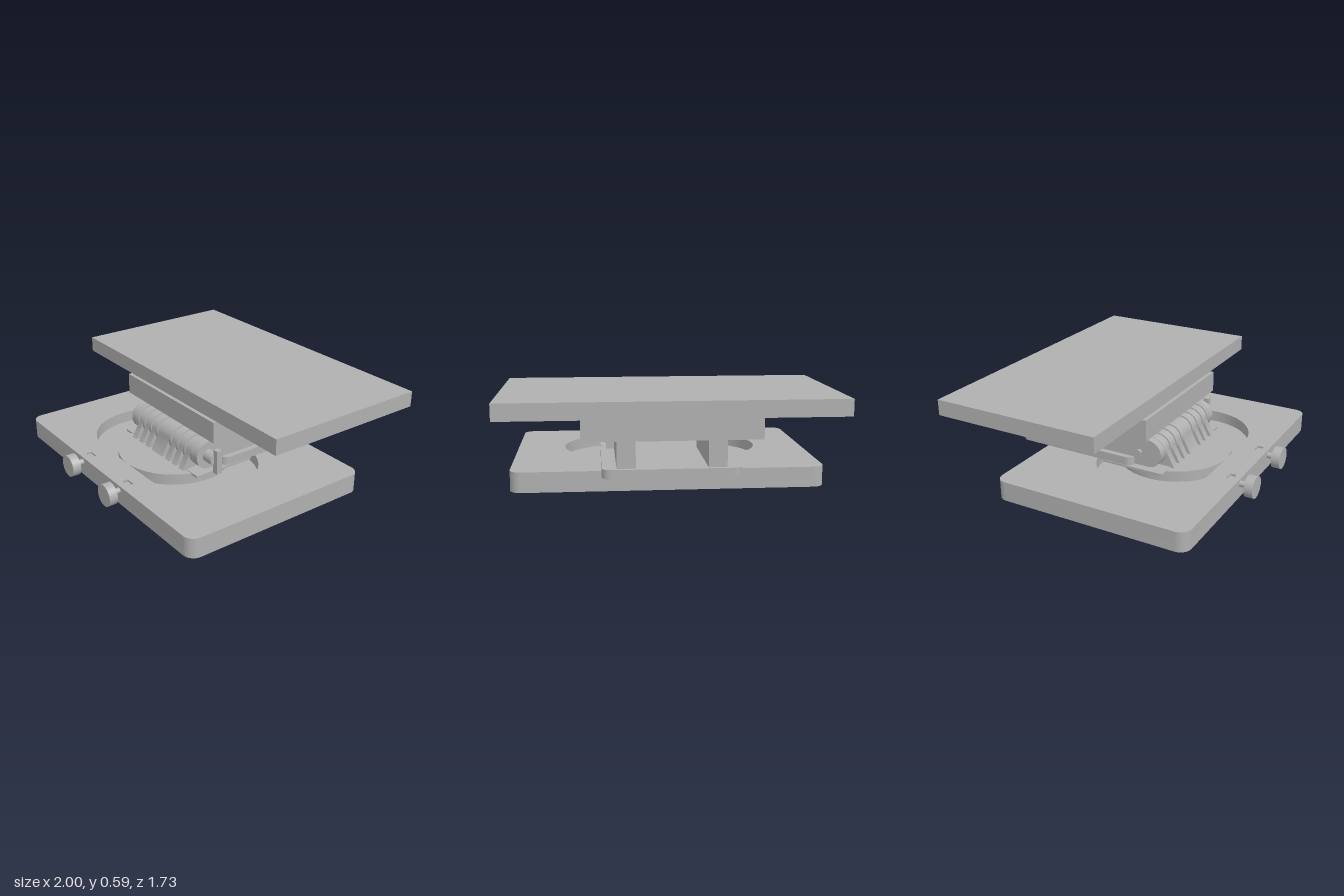
import * as THREE from 'three';
import { toCreasedNormals } from 'three/addons/utils/BufferGeometryUtils.js';

export function createModel() {
  const model = new THREE.Group();
  const grey = new THREE.MeshStandardMaterial({ color: 0xb0b0b0 });
  grey.name = 'plain grey';

  function add(name, geometry, x = 0, y = 0, z = 0) {
    const mesh = new THREE.Mesh(geometry, grey);
    mesh.name = name;
    mesh.position.set(x, y, z);
    model.add(mesh);
    return mesh;
  }
  // Box given by its limits on each axis
  const box = (name, x0, x1, y0, y1, z0, z1) =>
    add(name, new THREE.BoxGeometry(x1 - x0, y1 - y0, z1 - z0), (x0 + x1) / 2, (y0 + y1) / 2, (z0 + z1) / 2);
  // Cylinder lying along x or z
  function rod(name, axis, r, from, to, a, y) {
    const g = new THREE.CylinderGeometry(r, r, to - from, 40);
    const mid = (from + to) / 2;
    if (axis === 'x') return add(name, g.rotateZ(Math.PI / 2), mid, y, a);
    return add(name, g.rotateX(Math.PI / 2), a, y, mid);
  }
  // Rounded rectangle in the ground plane, centred on cx, cz
  function rounded(cx, cz, hx, hz, r) {
    const s = new THREE.Shape();
    s.absarc(cx + hx - r, cz + hz - r, r, 0, Math.PI / 2);
    s.absarc(cx - hx + r, cz + hz - r, r, Math.PI / 2, Math.PI);
    s.absarc(cx - hx + r, cz - hz + r, r, Math.PI, Math.PI * 1.5);
    s.absarc(cx + hx - r, cz - hz + r, r, Math.PI * 1.5, Math.PI * 2);
    s.closePath();
    return s;
  }
  // Extrude a ground-plane shape between two heights
  function layer(name, shape, holes, y0, y1, segments = 5) {
    shape.holes = holes;
    const g = new THREE.ExtrudeGeometry(shape, { depth: y1 - y0, bevelEnabled: false, curveSegments: segments });
    g.rotateX(Math.PI / 2).translate(0, y1, 0);
    return add(name, toCreasedNormals(g, 0.6));
  }
  // Extrude a side profile, drawn as (-z, y), between two x positions
  function sideProfile(name, shape, x0, x1) {
    const g = new THREE.ExtrudeGeometry(shape, { depth: x1 - x0, bevelEnabled: false, curveSegments: 24 });
    g.rotateY(Math.PI / 2).translate(x0, 0, 0);
    return add(name, toCreasedNormals(g, 0.5));
  }

  // Base: ribbed underneath, with a stadium-shaped recess on top
  const pocketAll = [], pocketDeep = [];
  for (let row = 0; row < 7; row++) {
    for (let col = 0; col < 10; col++) {
      const x = (col - 4.5) * 0.178, z = 0.12 + (row - 3) * 0.172;
      const corner = (col === 0 || col === 9) && (row === 0 || row === 6);
      if (corner || (row === 6 && col > 1 && col < 8)) continue;
      pocketAll.push([x, z]);
      const dx = Math.max(0, Math.abs(x) - 0.27);
      if (Math.hypot(dx, z - 0.205) > 0.47) pocketDeep.push([x, z]);
    }
  }
  const pockets = list => list.map(([x, z]) => rounded(x, z, 0.066, 0.062, 0.02));
  const outline = () => rounded(0, 0.12, 0.95, 0.64, 0.07);
  const recess = () => rounded(0, 0.205, 0.64, 0.37, 0.369);
  const slot = () => rounded(0, 0.205, 0.29, 0.018, 0.0179);
  const nutSlots = () => [-0.225, 0.22].map(x => rounded(x, 0.7, 0.033, 0.02, 0.002));
  layer('baseRibs', outline(), [...pockets(pocketAll), slot()], 0, 0.035);
  layer('baseFloor', outline(), [...pockets(pocketDeep), slot()], 0.035, 0.05);
  layer('baseWalls', outline(), [...pockets(pocketDeep), recess(), ...nutSlots()], 0.05, 0.11, 20);
  layer('baseTop', outline(), [recess(), ...nutSlots()], 0.11, 0.125, 20);
  layer('slotRim', rounded(0, 0.205, 0.31, 0.036, 0.0359), [slot()], 0.001, 0.035, 10);

  // Swivel disc that slides in the recess
  add('swivelDisc', new THREE.CylinderGeometry(0.365, 0.365, 0.07, 64), 0, 0.085, 0.205);
  box('discPad', -0.405, 0.405, 0.11, 0.124, -0.1, 0.32);

  // Front clamping knobs
  for (const x of [-0.225, 0.22]) {
    rod('knob', 'z', 0.07, 0.81, 0.865, x, 0.093);
    rod('knobStem', 'z', 0.019, 0.67, 0.82, x, 0.093);
    box('knobNut', x - 0.02, x + 0.02, 0.06, 0.118, 0.685, 0.715);
  }

  // Tilting carrier plate with screw holes and two rear walls
  const screwHoles = [-0.26, 0.26].map(x => rounded(x, -0.65, 0.02, 0.02, 0.0199));
  layer('carrierPlate', rounded(0, -0.31, 0.405, 0.42, 0.05), screwHoles, 0.126, 0.18, 10);
  for (const s of [-1, 1]) {
    box('supportWall', s * 0.265 - 0.055, s * 0.265 + 0.055, 0.18, 0.35, -0.705, -0.155);
  }

  // Hinge arms at both ends of the drum
  const cz = 0.205, cy = 0.222;
  const arm = new THREE.Shape();
  arm.moveTo(0.155, 0.175);
  arm.lineTo(0.155, 0.347);
  arm.lineTo(0.08, 0.345);
  arm.absarc(-cz, cy, 0.09, Math.PI * 0.54, Math.PI * 1.5, false);
  arm.lineTo(-0.11, 0.132);
  arm.lineTo(-0.11, 0.175);
  arm.closePath();
  sideProfile('hingeArm', arm, 0.32, 0.37);
  sideProfile('hingeArm', arm, -0.37, -0.32);

  // Fixed hinge fingers with sloping feet
  const finger = new THREE.Shape();
  finger.moveTo(-0.345, 0.12);
  finger.lineTo(-0.08, 0.12);
  finger.lineTo(-0.12, cy);
  finger.absarc(-cz, cy, 0.084, 0, Math.PI, false);
  finger.closePath();
  const fingers = [-0.267, -0.19, -0.115, 0, 0.115, 0.19, 0.267];
  for (const x of fingers) {
    const h = x === 0 ? 0.062 : 0.023;
    sideProfile('hingeFinger', finger, x - h, x + h);
  }

  // Moving rings between the fingers, around a common core
  rod('hingeCore', 'x', 0.07, -0.325, 0.325, cz, cy);
  for (const x of [-0.305, -0.2285, -0.1525, -0.077, 0.077, 0.1525, 0.2285, 0.305]) {
    rod('hingeRing', 'x', 0.09, x - 0.012, x + 0.012, cz, cy);
  }

  // Tightening lever and stop pin
  rod('leverShaft', 'x', 0.04, 0.36, 0.45, 0.21, cy);
  box('leverHandle', 0.445, 0.483, 0.14, 0.295, 0.19, 0.227);
  rod('stopPin', 'x', 0.018, -0.388, 0.388, 0.145, cy);

  // Body under the top slab, in two widths
  box('frontBody', -0.472, 0.472, 0.355, 0.49, -0.145, 0.248);
  box('rearBody', -0.522, 0.522, 0.348, 0.492, -0.755, -0.145);

  // Top slab
  box('topSlab', -1, 1, 0.492, 0.592, -0.865, 0.226);

  return model;
}
